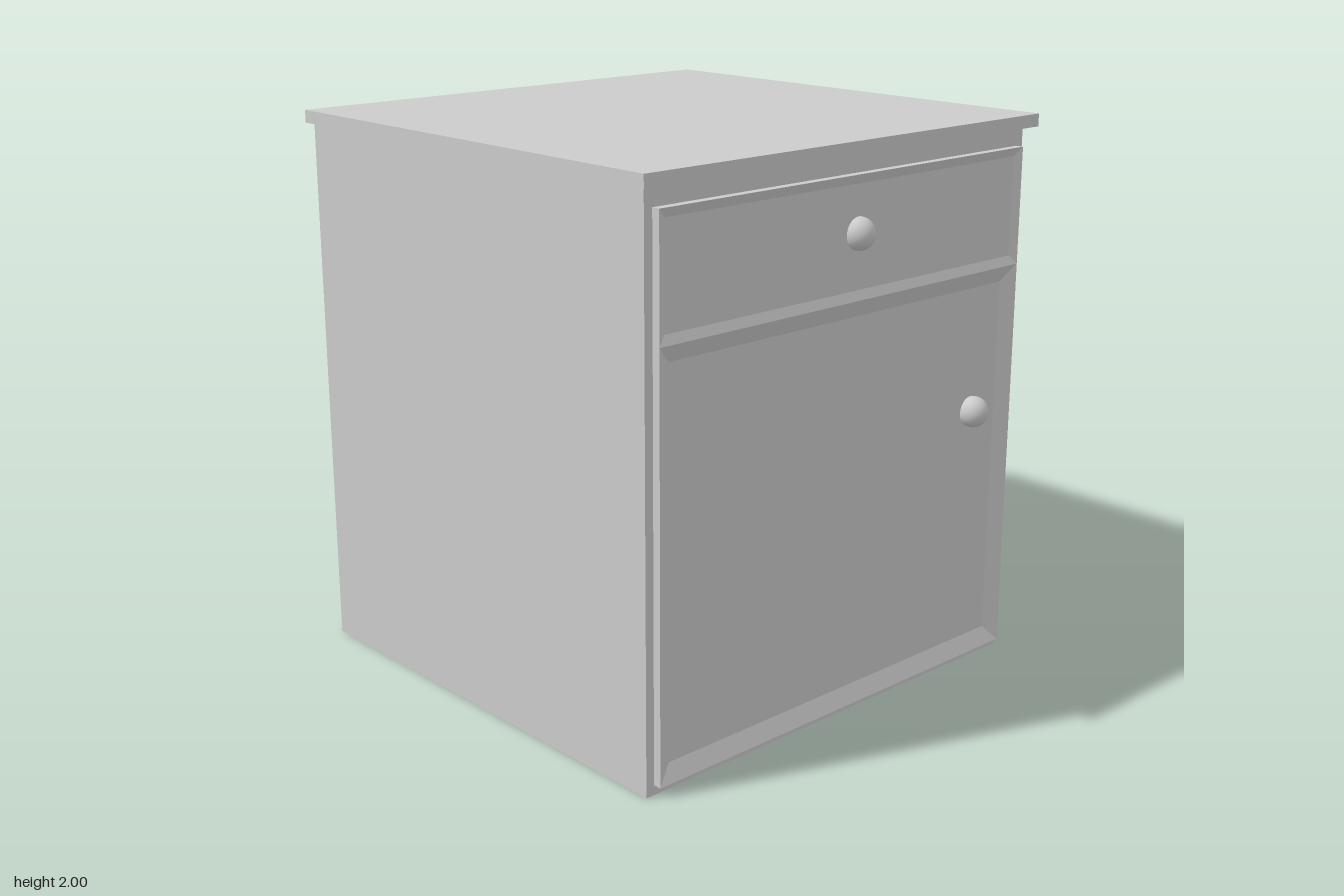
import * as THREE from 'three';

const material = new THREE.MeshStandardMaterial({ color: 0xcccccc });

function addMesh(group, name, geometry, x, y, z) {
  const mesh = new THREE.Mesh(geometry, material);
  mesh.name = name;
  mesh.position.set(x, y, z);
  group.add(mesh);
  return mesh;
}

// Panel facing +x whose front slopes inward from its rim to a sunken field
function sunkenPanel(width, height, thickness, bevel, depth) {
  const rings = [[0, 0], [thickness, 0], [thickness - depth, bevel]];
  const positions = [];
  for (const [x, inset] of rings) {
    const w = width / 2 - inset, h = height / 2 - inset;
    positions.push(x, -h, w, x, -h, -w, x, h, -w, x, h, w);
  }
  const index = [];
  for (let r = 0; r < rings.length - 1; r++) {
    for (let i = 0; i < 4; i++) {
      const a = r * 4 + i, b = r * 4 + (i + 1) % 4;
      index.push(a, b, b + 4, a, b + 4, a + 4);
    }
  }
  index.push(8, 9, 10, 8, 10, 11); // sunken field
  const indexed = new THREE.BufferGeometry();
  indexed.setAttribute('position', new THREE.Float32BufferAttribute(positions, 3));
  indexed.setIndex(index);
  const geometry = indexed.toNonIndexed();
  geometry.computeVertexNormals();
  return geometry;
}

export function createModel() {
  const cabinet = new THREE.Group();
  cabinet.name = 'bedsideCabinet';

  // Carcass and overhanging top board
  addMesh(cabinet, 'body', new THREE.BoxGeometry(1.76, 1.955, 1.765), -0.04, 0.9775, 0);
  addMesh(cabinet, 'topBoard', new THREE.BoxGeometry(1.8, 0.045, 1.835), -0.02, 1.9775, 0);

  // Drawer front above the door
  addMesh(cabinet, 'drawerFront', sunkenPanel(1.7, 0.415, 0.03, 0.032, 0.014), 0.84, 1.6825, 0);
  addMesh(cabinet, 'door', sunkenPanel(1.7, 1.44, 0.03, 0.06, 0.027), 0.84, 0.755, 0);

  // Round knobs
  const knob = new THREE.SphereGeometry(0.056, 32, 20);
  addMesh(cabinet, 'drawerKnob', knob, 0.858, 1.695, -0.025);
  addMesh(cabinet, 'doorKnob', knob, 0.858, 0.965, -0.657);

  return cabinet;
}
